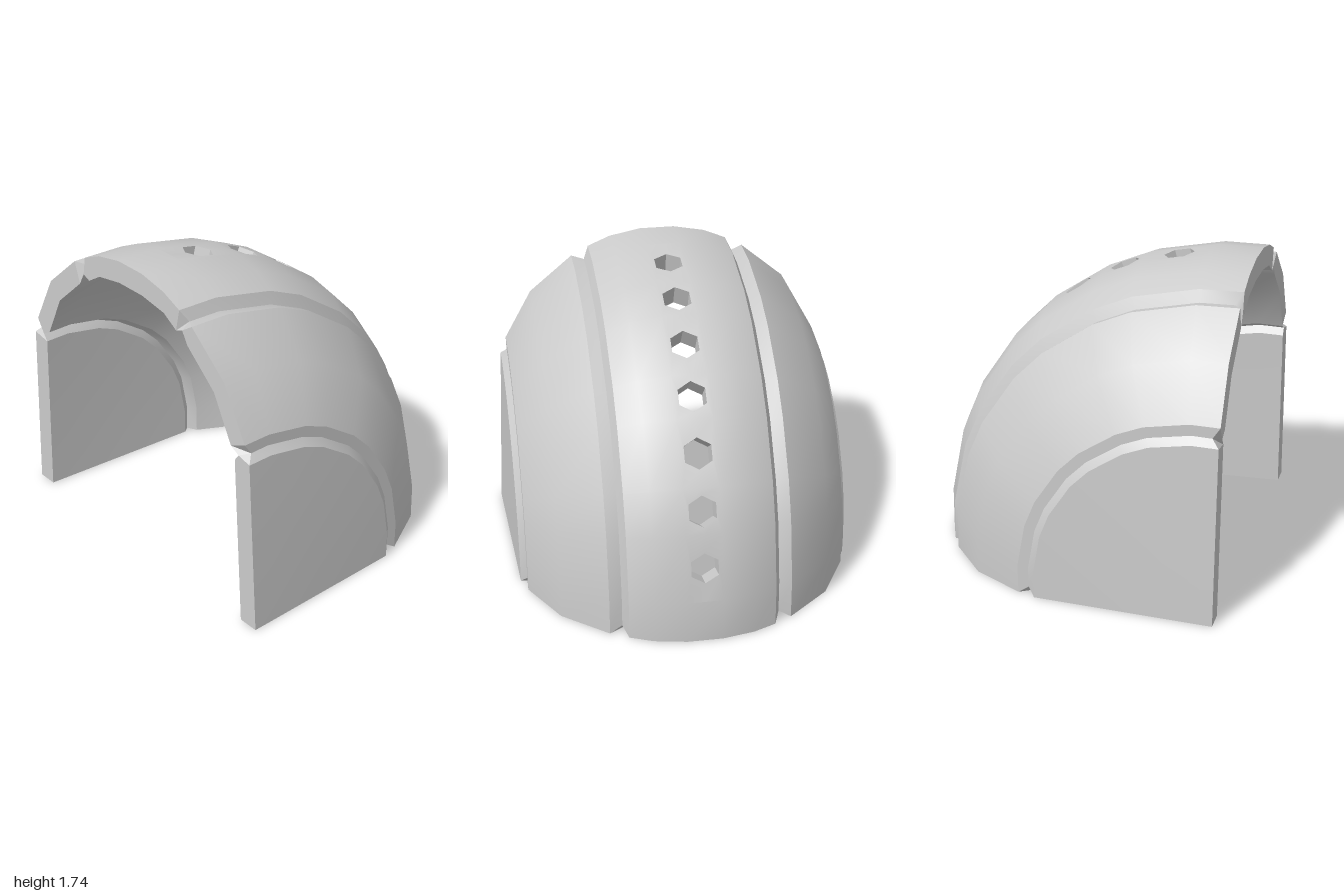
import * as THREE from 'three';
import { toCreasedNormals } from 'three/addons/utils/BufferGeometryUtils.js';

// Half profile [z, radius], end plate axis -> middle band, outside and inside skins
const OUTER = [[1, 0], [0.955, 0.99], [0.92, 1.03], [0.92, 1.09], [0.76, 1.38],
  [0.51, 1.59], [0.44, 1.58], [0.41, 1.645], [0.28, 1.7], [0.1, 1.735]];
const INNER = [[0.88, 0], [0.84, 0.97], [0.87, 1.01], [0.81, 1.04], [0.68, 1.29],
  [0.47, 1.47], [0.43, 1.54], [0.38, 1.52], [0.28, 1.58], [0.1, 1.61]];
const GROOVES = [2, 6];

// Sweep angles in degrees, with the slight bulge of the rings towards 45 degrees
const ANGLES = [0, 8.3, 21, 29, 41, 49, 61, 69, 81.7, 90];
const BULGE = [0, 0.01, 0.024, 0.03, 0.035, 0.035, 0.03, 0.024, 0.01, 0];
const CENTRE_X = -0.867;
const HOLE_LENGTH = 0.0866, HOLE_WIDTH = 0.075;
const LAST = OUTER.length * 2 - 1;

// Point on a skin: j runs along the full mirrored profile, i along the sweep
function point(skin, j, i) {
  const k = Math.min(j, LAST - j);
  const [z, r] = skin[k];
  const gain = z < 0.35 ? 1 : 0.8 + 0.6 * THREE.MathUtils.clamp((1.6 - r) / 0.6, 0, 1);
  const radius = r * (1 + BULGE[i] * gain);
  const a = THREE.MathUtils.degToRad(ANGLES[i]);
  // grooves are notched where they reach the cut ends
  const inset = skin === OUTER && GROOVES.includes(k) ? 0.04 : 0;
  return new THREE.Vector3(
    CENTRE_X + Math.max(radius * Math.cos(a), inset),
    Math.max(radius * Math.sin(a), inset),
    j === k ? z : -z);
}

function addTriangle(out, a, b, c) {
  const n = b.clone().sub(a).cross(c.clone().sub(a));
  if (n.length() > 1e-9) for (const p of [a, b, c]) out.push(p.x, p.y, p.z);
}

function addQuad(out, a, b, c, d, flip = false) {
  if (flip) [b, d] = [d, b];
  addTriangle(out, a, b, c);
  addTriangle(out, a, c, d);
}

// Frame and hexagon of one holed cell
function holeCell(skin, j, i) {
  const low = point(skin, j, i), high = point(skin, j, i + 1);
  const along = high.clone().sub(low);
  const half = along.length() / 2;
  along.normalize();
  const mid = low.clone().add(high).multiplyScalar(0.5).setZ(0);
  const at = (u, v) => mid.clone().addScaledVector(along, v).setZ(-u);
  const loop = (w, l, shoulder) => [[0, -l], [w, -shoulder], [w, shoulder],
    [0, l], [-w, shoulder], [-w, -shoulder]].map(([u, v]) => at(u, v));
  return {
    frame: loop(low.z, half, half),
    hexagon: loop(HOLE_WIDTH, HOLE_LENGTH, HOLE_LENGTH / 2),
  };
}

function addHoledCell(out, j, i) {
  const o = holeCell(OUTER, j, i), n = holeCell(INNER, j, i);
  for (let k = 0; k < 6; k++) {
    const m = (k + 1) % 6;
    addQuad(out, o.frame[k], o.frame[m], o.hexagon[m], o.hexagon[k]);
    addQuad(out, n.frame[k], n.frame[m], n.hexagon[m], n.hexagon[k], true);
    addQuad(out, o.hexagon[k], o.hexagon[m], n.hexagon[m], n.hexagon[k]);
  }
}

// Thick swept panel between two profile stations
function panel(name, from, to, material) {
  const out = [];
  const end = ANGLES.length - 1;
  for (let j = from; j < to; j++) {
    for (let i = 0; i < end; i++) {
      const middle = j === (LAST - 1) / 2;
      if (middle && i > 0 && i < end - 1) {
        addHoledCell(out, j, i);
        continue;
      }
      for (const skin of [OUTER, INNER]) {
        addQuad(out, point(skin, j, i), point(skin, j + 1, i),
          point(skin, j + 1, i + 1), point(skin, j, i + 1), skin === INNER);
      }
    }
    // cut faces at the ground and at the upright end
    for (const i of [0, end]) {
      addQuad(out, point(OUTER, j, i), point(INNER, j, i),
        point(INNER, j + 1, i), point(OUTER, j + 1, i), i === end);
    }
  }
  const geometry = new THREE.BufferGeometry();
  geometry.setAttribute('position', new THREE.Float32BufferAttribute(out, 3));
  const mesh = new THREE.Mesh(toCreasedNormals(geometry, 0.5), material);
  mesh.name = name;
  return mesh;
}

export function createModel() {
  const group = new THREE.Group();
  group.name = 'quarterDomeShell';
  const material = new THREE.MeshStandardMaterial({ color: 0xcccccc, side: THREE.DoubleSide });
  const [plateEdge, bandEdge] = GROOVES;
  group.add(
    panel('frontEndPlate', 0, plateEdge, material),
    panel('frontSidePanel', plateEdge, bandEdge, material),
    panel('perforatedBand', bandEdge, LAST - bandEdge, material),
    panel('backSidePanel', LAST - bandEdge, LAST - plateEdge, material),
    panel('backEndPlate', LAST - plateEdge, LAST, material));
  return group;
}
